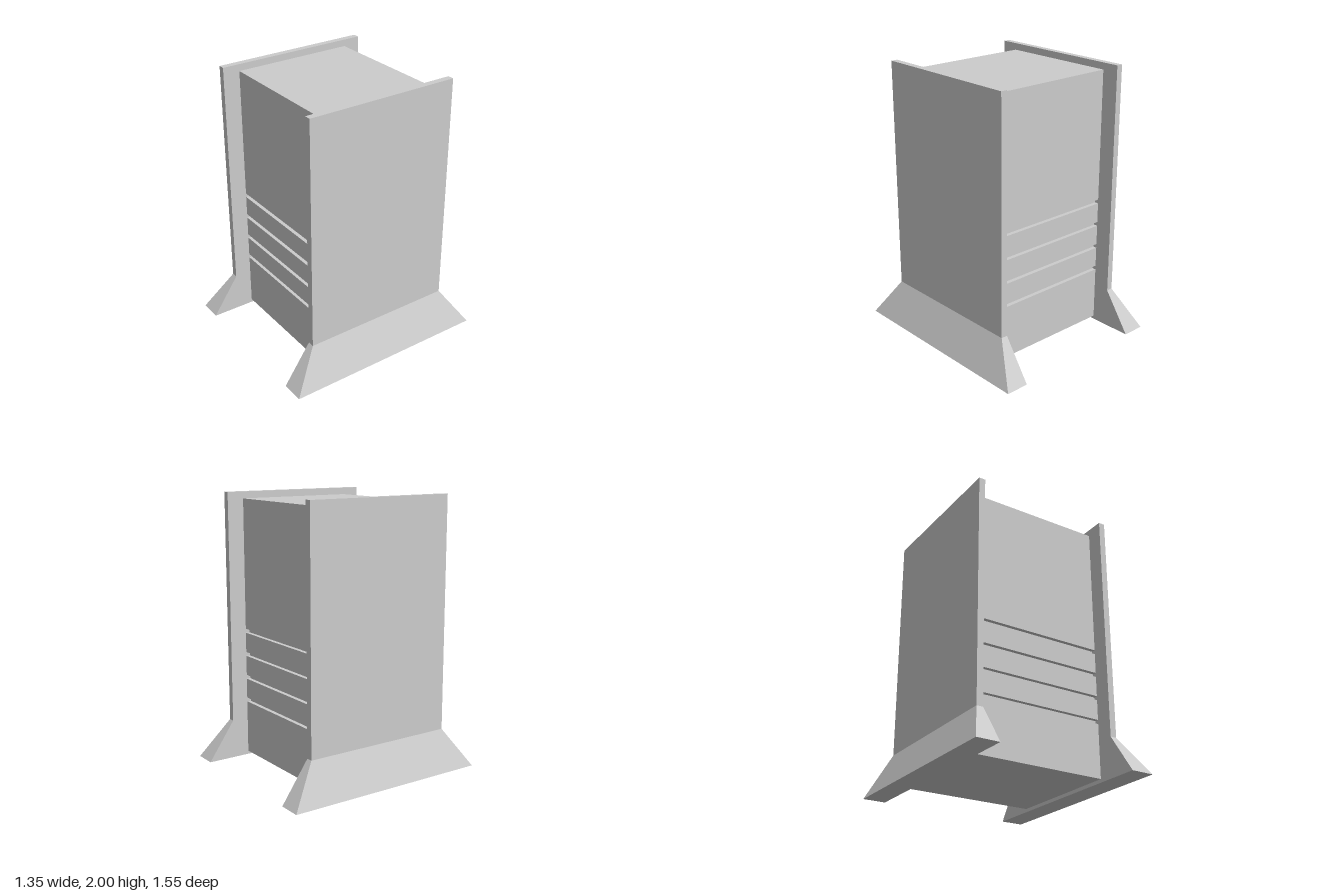
import * as THREE from 'three';

const material = new THREE.MeshStandardMaterial({ color: 0xcccccc, flatShading: true });

const INNER = 0.505;  // inner face of each side panel
const BODY_Z = 0.45;  // half depth of the body

// Body: side profile with four horizontal grooves in front and back, extruded across x
function createBody() {
  const bottom = 0.025, top = 1.95, groove = 0.03, depth = 0.03;
  const front = [[BODY_Z, bottom]];
  for (let i = 0; i < 4; i++) {
    const y = 0.42 + i * 0.178;
    front.push([BODY_Z, y], [BODY_Z - depth, y], [BODY_Z - depth, y + groove], [BODY_Z, y + groove]);
  }
  front.push([BODY_Z, top]);
  const back = front.map(([z, y]) => [-z, y]).reverse();
  const shape = new THREE.Shape([...front, ...back].map(([z, y]) => new THREE.Vector2(z, y)));
  const geometry = new THREE.ExtrudeGeometry(shape, { depth: 2 * INNER, bevelEnabled: false });
  geometry.translate(0, 0, -INNER);
  geometry.rotateY(Math.PI / 2);
  const body = new THREE.Mesh(geometry, material);
  body.name = 'groovedBody';
  return body;
}

// Side panel: upright slab whose lowest section flares outwards into a foot
function createPanel(side) {
  const footHeight = 0.29;
  let geometry = new THREE.BoxGeometry(2, 2, 2, 1, 2, 1);
  const p = geometry.attributes.position;
  for (let i = 0; i < p.count; i++) {
    const level = Math.round(p.getY(i)); // -1 ground, 0 foot top, 1 panel top
    const outer = p.getX(i) * side > 0;
    const x = outer ? (level < 0 ? 0.675 : 0.553) : INNER;
    const z = level < 0 ? 0.777 : 0.576;
    p.setXYZ(i, side * x, [0, footHeight, 2][level + 1], Math.sign(p.getZ(i)) * z);
  }
  geometry = geometry.toNonIndexed();
  geometry.computeVertexNormals();
  const panel = new THREE.Mesh(geometry, material);
  panel.name = side > 0 ? 'leftPanel' : 'rightPanel';
  return panel;
}

export function createModel() {
  const model = new THREE.Group();
  model.name = 'panelledPedestal';
  model.add(createBody(), createPanel(1), createPanel(-1));
  return model;
}
